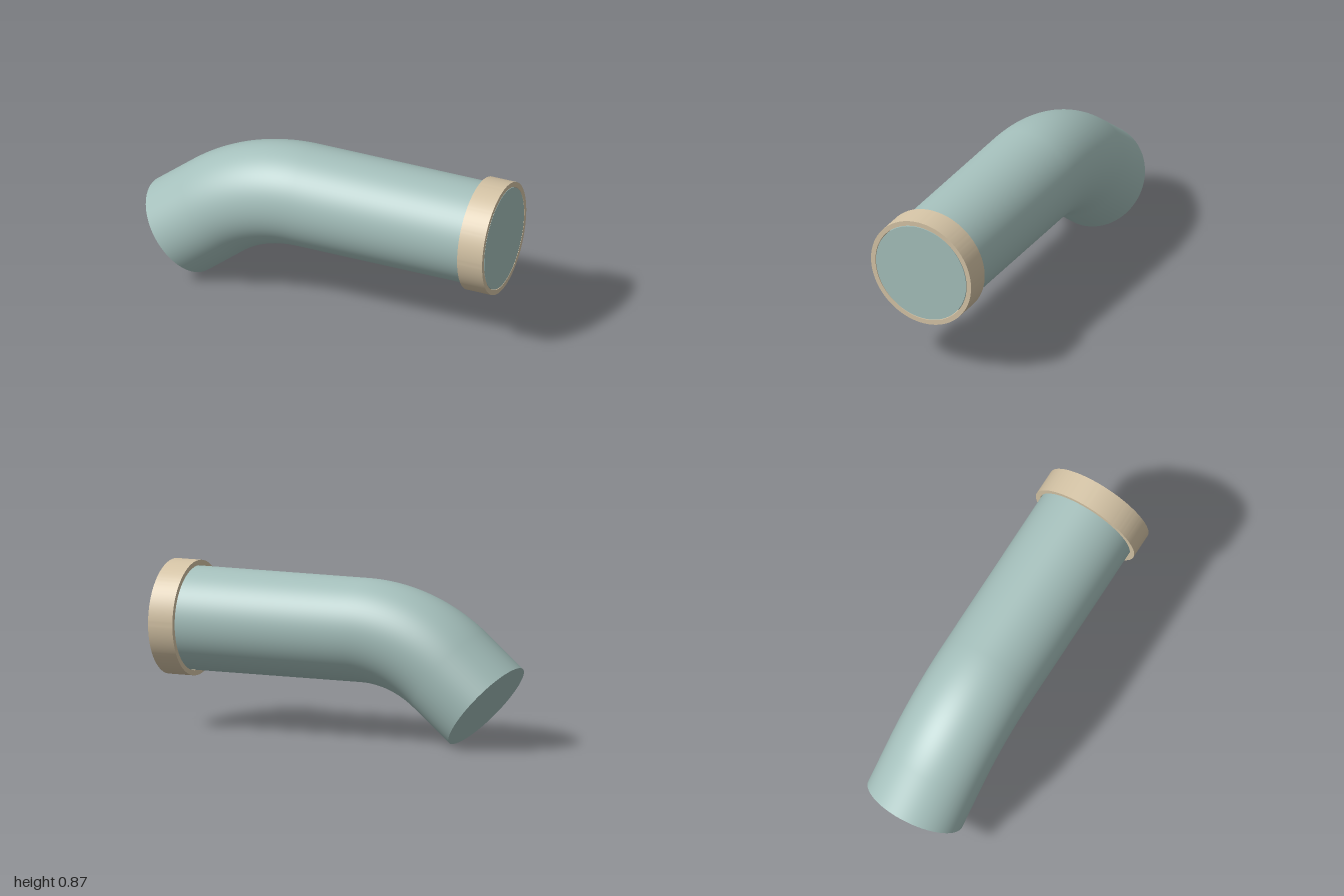
import * as THREE from 'three';
import { toCreasedNormals } from 'three/addons/utils/BufferGeometryUtils.js';

const SEGMENTS = 96;
const AXIS_Y = 0.566;      // height of the straight run
const RADIUS = 0.274;      // pipe radius
const BEND_RADIUS = 0.785;
const BEND = THREE.MathUtils.degToRad(40);
const END = new THREE.Vector2(-0.824, 0.21); // centre of the lower opening

export function createModel() {
  const group = new THREE.Group();
  const pipeMat = new THREE.MeshStandardMaterial({ color: 0xa5c0bc });
  pipeMat.name = 'pale teal';
  const collarMat = new THREE.MeshStandardMaterial({ color: 0xd5c4a6 });
  collarMat.name = 'tan';

  const add = (name, geometry, material, x, y) => {
    const mesh = new THREE.Mesh(geometry, material);
    mesh.name = name;
    mesh.position.set(x, y, 0);
    group.add(mesh);
  };
  const tube = (length) => new THREE.CylinderGeometry(RADIUS, RADIUS, length, SEGMENTS, 1, true);

  // Lengths that join the straight run, bend and lower leg tangentially
  const sin = Math.sin(BEND), cos = Math.cos(BEND);
  const leg = (AXIS_Y - END.y - BEND_RADIUS * (1 - cos)) / sin;
  const bendX = END.x + BEND_RADIUS * sin + leg * cos;

  // Pipe
  add('straightPipe', tube(1 - bendX).rotateZ(Math.PI / 2), pipeMat, (1 + bendX) / 2, AXIS_Y);
  add('pipeBend',
    new THREE.TorusGeometry(BEND_RADIUS, RADIUS, SEGMENTS, 32, BEND).rotateZ(Math.PI / 2),
    pipeMat, bendX, AXIS_Y - BEND_RADIUS);
  add('lowerPipe', tube(leg).rotateZ(Math.PI / 2 + BEND), pipeMat,
    END.x + leg * cos / 2, END.y + leg * sin / 2);

  // Closed ends
  const disc = () => new THREE.CircleGeometry(RADIUS, SEGMENTS);
  add('collarEndCap', disc().rotateY(Math.PI / 2), pipeMat, 1, AXIS_Y);
  add('lowerEndCap', disc().rotateY(-Math.PI / 2).rotateZ(BEND), pipeMat, END.x, END.y);

  // Collar with a hairline gap around the pipe
  const ring = new THREE.Shape().absarc(0, 0, 0.304, 0, Math.PI * 2);
  ring.holes.push(new THREE.Path().absarc(0, 0, 0.277, 0, Math.PI * 2, true));
  const collar = new THREE.ExtrudeGeometry(ring, {
    depth: 0.142, bevelEnabled: false, curveSegments: SEGMENTS,
  }).rotateY(Math.PI / 2);
  add('collar', toCreasedNormals(collar, 0.6), collarMat, 0.858, AXIS_Y);

  return group;
}
